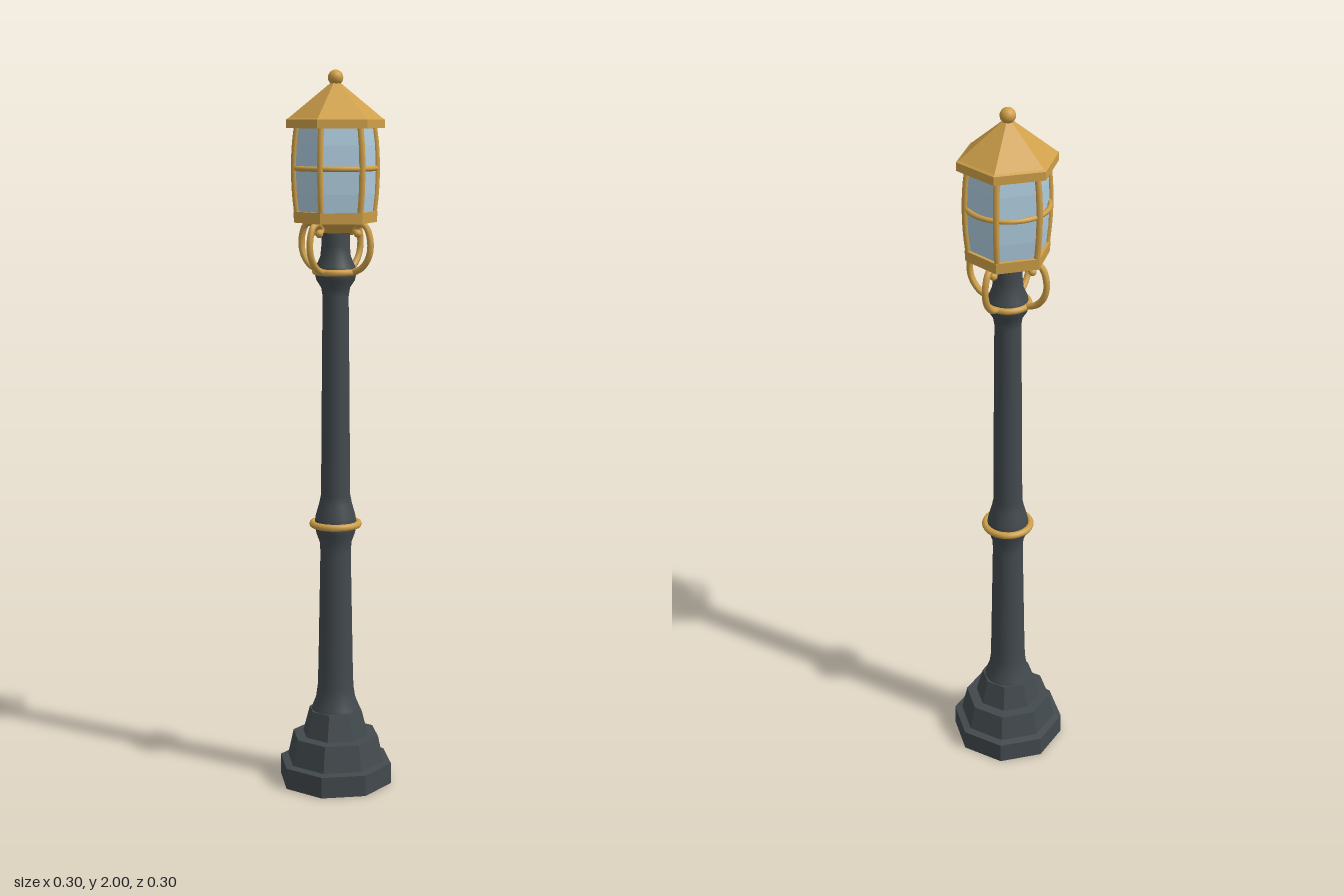
import * as THREE from 'three';

const iron = new THREE.MeshStandardMaterial({ color: 0x42494d });
iron.name = 'dark iron';
const brass = new THREE.MeshStandardMaterial({ color: 0xcfa049 });
brass.name = 'aged brass';
const glass = new THREE.MeshStandardMaterial({ color: 0xaecbdd });
glass.name = 'pale glass';

const vec2 = (pairs) => pairs.map(([r, y]) => new THREE.Vector2(r, y));

// Faceted solid: a profile of [corner radius, y], flat sides facing the front
function prism(pairs, sides) {
  const geo = new THREE.LatheGeometry(vec2(pairs), sides, Math.PI / sides).toNonIndexed();
  geo.computeVertexNormals();
  return geo;
}

export function createModel() {
  const model = new THREE.Group();
  model.name = 'streetLamp';
  const add = (name, geo, mat, parent = model) => {
    const mesh = new THREE.Mesh(geo, mat);
    mesh.name = name;
    parent.add(mesh);
    return mesh;
  };
  const ring = (name, radius, tube, y, segments = 32, parent = model) => {
    const geo = new THREE.TorusGeometry(radius, tube, 8, segments).rotateX(Math.PI / 2);
    add(name, geo, brass, parent).position.y = y;
  };

  // Stepped octagonal base, given as flat-to-centre distances
  const tiers = [[0, 0], [0.15, 0], [0.15, 0.06], [0.13, 0.064], [0.115, 0.137],
    [0.088, 0.139], [0.07, 0.212], [0, 0.214]];
  add('base', prism(tiers.map(([a, y]) => [a / Math.cos(Math.PI / 8), y]), 8), iron);

  // Round post with flared foot, middle knuckle and neck
  const post = [[0.068, 0.21], [0.066, 0.22], [0.056, 0.245], [0.051, 0.28], [0.049, 0.35],
    [0.043, 0.67], [0.045, 0.7], [0.054, 0.725], [0.06, 0.75], [0.056, 0.775], [0.046, 0.81],
    [0.041, 0.835], [0.038, 1.2], [0.036, 1.39], [0.04, 1.415], [0.053, 1.435],
    [0.058, 1.455], [0.053, 1.475], [0.042, 1.5], [0.039, 1.53], [0.039, 1.59]];
  add('post', new THREE.LatheGeometry(vec2(post), 24), iron);
  ring('knuckleRing', 0.064, 0.01, 0.752);
  ring('neckRing', 0.056, 0.009, 1.458);

  // Four scroll brackets on the diagonals
  const scroll = new THREE.CatmullRomCurve3(
    [[0.05, 1.456], [0.088, 1.472], [0.112, 1.505], [0.116, 1.545], [0.102, 1.582],
      [0.078, 1.59], [0.064, 1.575], [0.074, 1.564]].map(([r, y]) => new THREE.Vector3(r, y, 0)));
  const scrollGeo = new THREE.TubeGeometry(scroll, 36, 0.009, 8);
  const tipGeo = new THREE.SphereGeometry(0.011, 10, 8).translate(0.074, 1.564, 0);
  for (let i = 0; i < 4; i++) {
    const bracket = new THREE.Group();
    bracket.name = 'scrollBracket' + (i + 1);
    bracket.rotation.y = Math.PI / 4 + i * Math.PI / 2;
    add('scroll', scrollGeo, brass, bracket);
    add('scrollTip', tipGeo, brass, bracket);
    model.add(bracket);
  }

  // Hexagonal lantern, with a corner on each side
  const lantern = new THREE.Group();
  lantern.name = 'lantern';
  model.add(lantern);
  add('lanternFloor', prism([[0, 1.565], [0.05, 1.565], [0.085, 1.592], [0.114, 1.592],
    [0.116, 1.622], [0, 1.623]], 6), brass, lantern);

  const body = [[0.105, 1.615], [0.111, 1.67], [0.1135, 1.735], [0.111, 1.8], [0.105, 1.85]];
  add('glassPanes', prism(body, 6), glass, lantern);

  // Bowed corner bars
  const bow = new THREE.CatmullRomCurve3(body.map(([r, y]) => new THREE.Vector3(r, y, 0)));
  const barGeo = new THREE.TubeGeometry(bow, 12, 0.0085, 8);
  for (let i = 0; i < 6; i++) {
    add('cornerBar' + (i + 1), barGeo, brass, lantern).rotation.y = i * Math.PI / 3;
  }
  ring('middleHoop', 0.109, 0.007, 1.738, 36, lantern);

  // Roof with thick eave and ball finial
  add('roof', prism([[0, 1.845], [0.135, 1.845], [0.135, 1.868], [0.128, 1.872],
    [0.012, 1.966], [0, 1.967]], 6), brass, lantern);
  add('finial', new THREE.SphereGeometry(0.021, 16, 12), brass, lantern).position.y = 1.979;

  return model;
}
